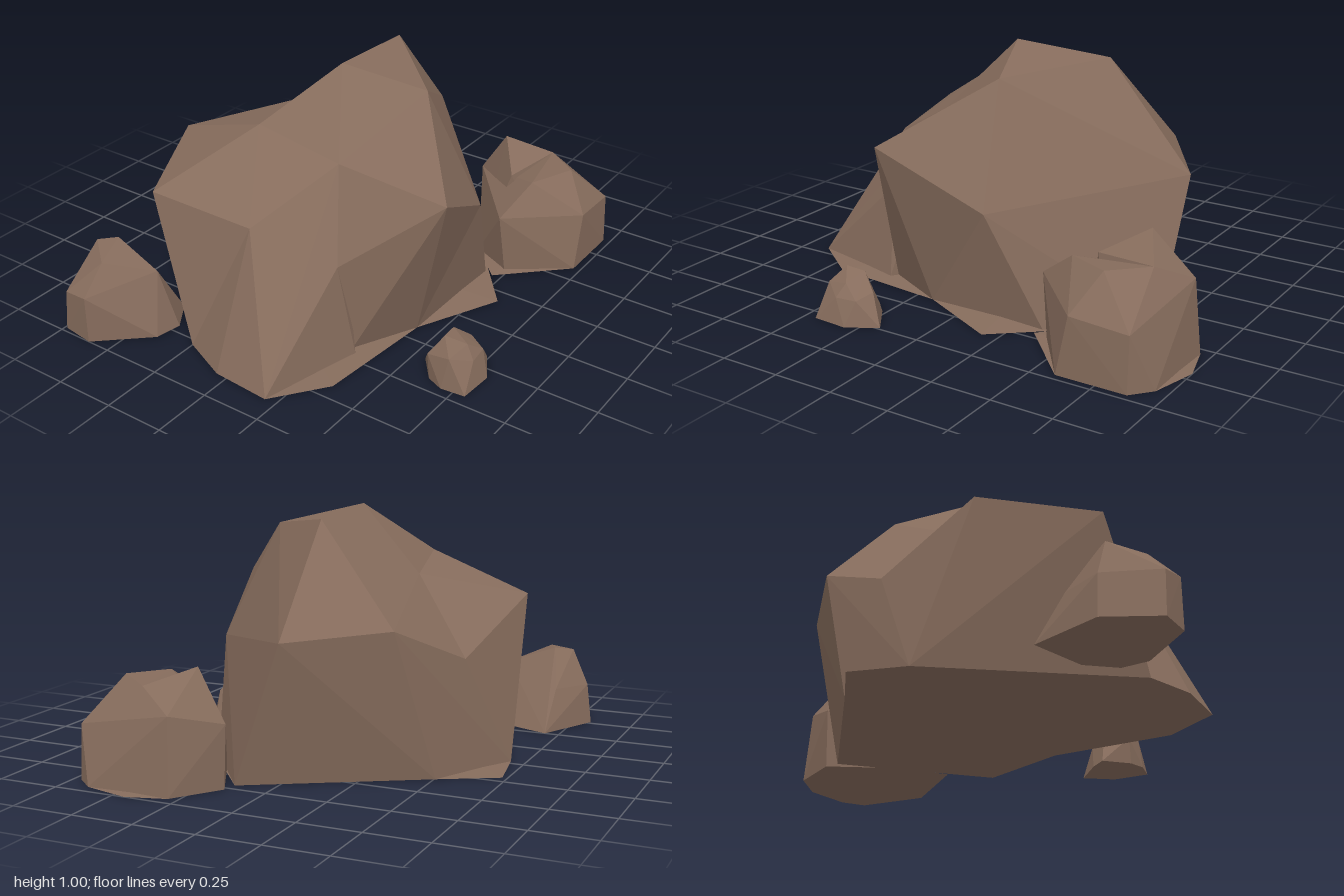
import * as THREE from 'three';
import { ConvexGeometry } from 'three/addons/geometries/ConvexGeometry.js';

const stone = new THREE.MeshStandardMaterial({ color: 0x866c5c });
stone.name = 'brownStone';

// Faceted chunk of rock: the convex hull of its corner points
function chunk(name, corners) {
  const points = corners.map(([x, y, z]) => new THREE.Vector3(x, y, z));
  const mesh = new THREE.Mesh(new ConvexGeometry(points), stone);
  mesh.name = name;
  return mesh;
}

// Ground outline given as [x, z] pairs
const ground = (...pairs) => pairs.map(([x, z]) => [x, 0, z]);

// Nearly flat skirt of stone on the ground, raised slightly in the middle
function ledge(name, ...pairs) {
  const mean = (i) => pairs.reduce((sum, p) => sum + p[i], 0) / pairs.length;
  return chunk(name, [...ground(...pairs), [mean(0), 0.02, mean(1)]]);
}

function rock(name, ...chunks) {
  const group = new THREE.Group();
  group.name = name;
  group.add(...chunks);
  return group;
}

export function createModel() {
  const model = new THREE.Group();
  model.name = 'rockCluster';

  // Corners shared by neighbouring chunks of the boulder
  const ridge = [-0.30, 0.71, 0.12];
  const shoulder = [-0.33, 0.79, -0.24];
  const saddle = [0.04, 0.74, -0.32];
  const notch = [-0.48, 0.38, 0.24];
  const brow = [0.14, 0.45, 0.50];
  const crest = [0.07, 0.92, 0.28];
  const summit = [0.37, 0.975, -0.05];
  const eastCorner = [0.73, 0.56, -0.05];
  const backCorner = [0.49, 0.59, -0.40];
  const backNotch = [0.16, 0.44, -0.56];
  const westCorner = [-0.64, 0.53, -0.05];

  model.add(rock('mainBoulder',
    // tall core
    chunk('boulderPeak', [
      crest, [-0.05, 1.0, -0.04], summit, eastCorner, backCorner, ridge, shoulder, saddle,
      ...ground([0.71, 0.15], [0.325, -0.505], [0.10, 0.30], [-0.30, 0.10]),
    ]),
    // overhanging nose
    chunk('boulderNose', [
      [-0.29, 0.67, 0.60], crest, summit, eastCorner, ridge, notch, brow,
      ...ground([0.71, 0.15], [-0.17, 0.41], [-0.44, 0.28], [0.20, 0.0]),
    ]),
    // wall under the brow
    chunk('boulderFoot', [
      brow, eastCorner, ...ground([-0.17, 0.41], [0.355, 0.42], [0.71, 0.15], [0.10, 0.10]),
    ]),
    // lower half at the back
    chunk('boulderShoulder', [
      [-0.70, 0.58, -0.48], westCorner, [-0.27, 0.64, -0.67], backNotch, ridge, shoulder, saddle,
      ...ground([0.15, -0.59], [-0.03, -0.69], [-0.78, -0.25], [-0.60, 0.0]),
    ]),
    // filled corner between the shoulder and the peak
    chunk('boulderBack', [
      saddle, backNotch, backCorner,
      ...ground([0.15, -0.59], [0.325, -0.505], [-0.03, -0.69], [0.0, -0.20]),
    ]),
    // sloping side
    chunk('boulderSlope', [
      westCorner, ridge, notch,
      ...ground([-0.78, -0.25], [-0.87, -0.05], [-0.89, 0.20], [-0.46, 0.31], [-0.20, 0.0]),
    ]),
    // skirts closing the underside
    ledge('boulderWestLedge', [-0.89, 0.20], [-0.68, 0.36], [-0.42, 0.36], [-0.17, 0.41],
      [0.325, -0.505], [0.20, -0.73], [-0.03, -0.69], [-0.78, -0.25], [-0.87, -0.05]),
    ledge('boulderEastLedge', [-0.17, 0.41], [0.18, 0.58], [0.71, 0.15], [0.325, -0.505],
      [-0.40, 0.0]),
  ));

  // Medium rock at the front
  const rim = [[0.84, 0.38, 0.46], [0.93, 0.30, 0.30], [0.77, 0.25, 0.15]];
  model.add(rock('frontRock',
    chunk('frontRockBody', [
      ...rim, [0.38, 0.26, 0.46], [0.54, 0.38, 0.52], [0.72, 0.39, 0.61],
      [0.64, 0.24, 0.72], [0.88, 0.22, 0.71],
      ...ground([0.41, 0.48], [0.59, 0.72], [0.88, 0.72], [0.95, 0.64],
        [0.955, 0.29], [0.77, 0.16], [0.50, 0.30]),
    ]),
    chunk('frontRockSpire', [
      ...rim, [0.74, 0.45, 0.28], [0.58, 0.36, 0.40],
      ...ground([0.77, 0.16], [0.93, 0.28], [0.50, 0.30], [0.70, 0.50]),
    ]),
    ledge('frontRockLedge', [0.34, 0.46], [0.59, 0.72], [0.88, 0.72], [0.95, 0.64],
      [1.0, 0.45], [0.955, 0.29], [0.77, 0.16], [0.50, 0.30]),
  ));

  // Small rock at the back
  model.add(chunk('backRock', [
    [-0.73, 0.33, -0.66], [-0.78, 0.32, -0.73], [-0.89, 0.31, -0.60], [-1.0, 0.20, -0.60],
    [-0.98, 0.18, -0.72], [-0.74, 0.25, -0.45], [-0.77, 0.17, -0.80], [-0.62, 0.17, -0.70],
    ...ground([-0.50, -0.69], [-0.77, -0.82], [-0.98, -0.74], [-1.0, -0.60],
      [-0.82, -0.40], [-0.71, -0.38], [-0.59, -0.46]),
  ]));

  // Pebble under the nose
  model.add(chunk('pebble', [
    [-0.39, 0.19, 0.67], [-0.31, 0.18, 0.66], [-0.24, 0.12, 0.70], [-0.44, 0.13, 0.72],
    [-0.34, 0.15, 0.74], [-0.43, 0.11, 0.62], [-0.36, 0.10, 0.78], [-0.27, 0.10, 0.77],
    ...ground([-0.46, 0.70], [-0.45, 0.80], [-0.30, 0.81], [-0.18, 0.74],
      [-0.27, 0.61], [-0.33, 0.55], [-0.43, 0.63]),
  ]));

  return model;
}
